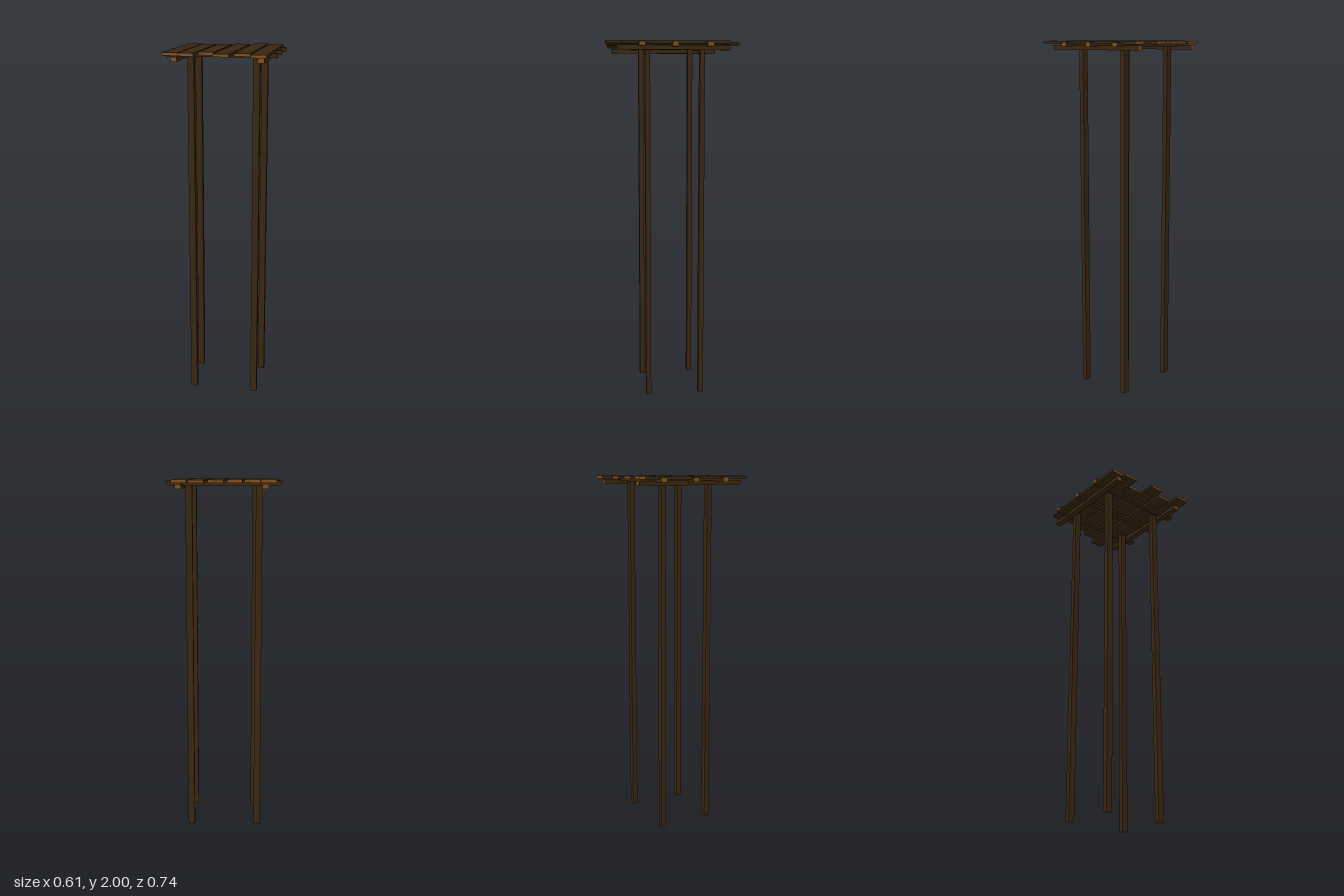
import * as THREE from 'three';

const bark = new THREE.MeshStandardMaterial({ color: 0x3a2611 });
const endGrain = new THREE.MeshStandardMaterial({ color: 0x80501f });

// Timber between two corners; the two faces across its length show lighter end grain
function timber(name, grainAxis, [x0, x1], [y0, y1], [z0, z1]) {
  const geometry = new THREE.BoxGeometry(x1 - x0, y1 - y0, z1 - z0);
  const first = 'xyz'.indexOf(grainAxis) * 2;
  const materials = Array.from({ length: 6 }, (_, i) =>
    i === first || i === first + 1 ? endGrain : bark);
  const mesh = new THREE.Mesh(geometry, materials);
  mesh.position.set((x0 + x1) / 2, (y0 + y1) / 2, (z0 + z1) / 2);
  mesh.name = name;
  return mesh;
}

export function createModel() {
  const model = new THREE.Group();
  model.name = 'woodenPlatform';

  // Deck planks: left edge, back end, front end
  const deck = new THREE.Group();
  deck.name = 'deck';
  const planks = [
    [-0.283, -0.29, 0.321],
    [-0.195, -0.276, 0.337],
    [-0.103, -0.296, 0.26],
    [-0.004, -0.323, 0.352],
    [0.098, -0.374, 0.302],
    [0.194, -0.305, 0.37],
  ];
  planks.forEach(([x, back, front], i) =>
    deck.add(timber(`plank${i + 1}`, 'z', [x, x + 0.083], [1.984, 2], [back, front])));
  model.add(deck);

  // Cross beams, let into the underside of the planks
  const crossBeams = new THREE.Group();
  crossBeams.name = 'crossBeams';
  [-0.211, -0.02, 0.16].forEach((z, i) =>
    crossBeams.add(timber(`crossBeam${i + 1}`, 'x', [-0.307, 0.307], [1.969, 1.994], [z, z + 0.034])));
  model.add(crossBeams);

  // Side beams below the cross beams, outside the legs
  const sideBeams = new THREE.Group();
  sideBeams.name = 'sideBeams';
  [['rightSideBeam', -0.24], ['leftSideBeam', 0.222]].forEach(([name, x]) =>
    sideBeams.add(timber(name, 'z', [x, x + 0.034], [1.952, 1.977], [-0.309, 0.307])));
  model.add(sideBeams);

  // Four slightly uneven legs
  const legs = new THREE.Group();
  legs.name = 'legs';
  [
    ['backRightLeg', -0.209, -0.167],
    ['backLeftLeg', 0.174, -0.177],
    ['frontRightLeg', -0.187, 0.127],
    ['frontLeftLeg', 0.174, 0.125],
  ].forEach(([name, x, z]) =>
    legs.add(timber(name, 'y', [x, x + 0.037], [0, 1.972], [z, z + 0.028])));
  model.add(legs);

  return model;
}
